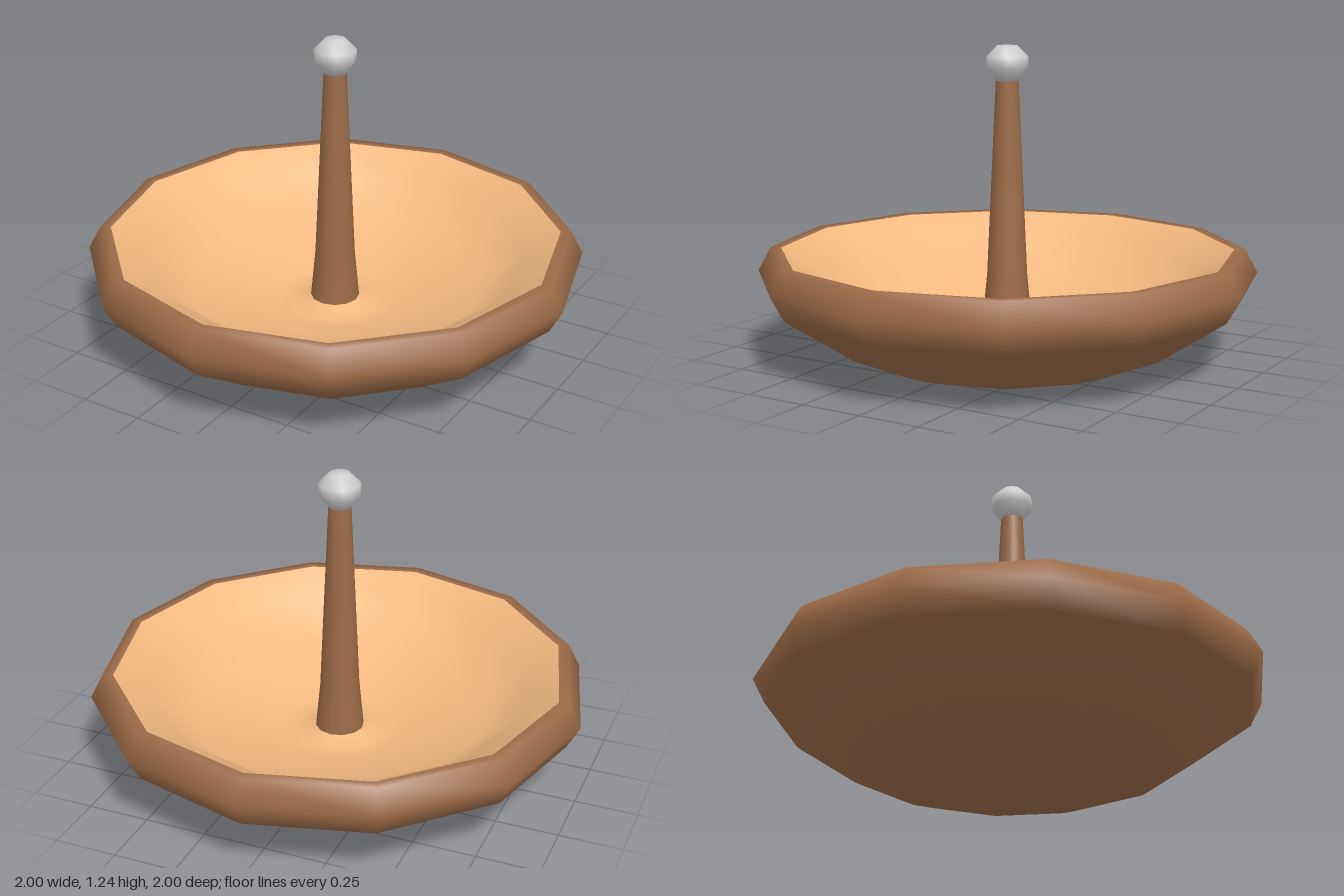
import * as THREE from 'three';

const SIDES = 12;
const darkWood = new THREE.MeshStandardMaterial({ color: 0x9c6b48 });
const lightWood = new THREE.MeshStandardMaterial({ color: 0xf2b880 });
const grey = new THREE.MeshStandardMaterial({ color: 0xcccccc });

// Turned part from a profile of [radius, height] points
function turned(name, profile, material) {
  const points = profile.map(([r, y]) => new THREE.Vector2(r, y));
  const mesh = new THREE.Mesh(new THREE.LatheGeometry(points, SIDES), material);
  mesh.name = name;
  return mesh;
}

export function createModel() {
  const group = new THREE.Group();
  group.name = 'ringDish';

  // Outside of the dish, from the underside up over the rounded rim
  group.add(turned('dishShell', [
    [0, 0], [0.53, 0], [0.67, 0.05], [0.95, 0.24], [1, 0.335], [0.95, 0.43], [0.91, 0.43], [0.905, 0.426],
  ], darkWood));

  // Inside of the dish; short first and last steps soften the shading at the rim and post
  group.add(turned('dishInside', [
    [0.914, 0.429], [0.907, 0.428], [0.77, 0.34], [0.6, 0.2], [0.25, 0.115], [0.18, 0.112], [0.1, 0.13], [0.094, 0.15],
  ], lightWood));

  // Tapered centre post with a slight flare at its foot
  group.add(turned('post', [
    [0.1, 0.12], [0.08, 0.33], [0.045, 1.1],
  ], darkWood));

  // Faceted ball on top of the post
  group.add(turned('knob', [
    [0, 1.095], [0.045, 1.1], [0.083, 1.15], [0.083, 1.195], [0.04, 1.238], [0, 1.24],
  ], grey));

  return group;
}
